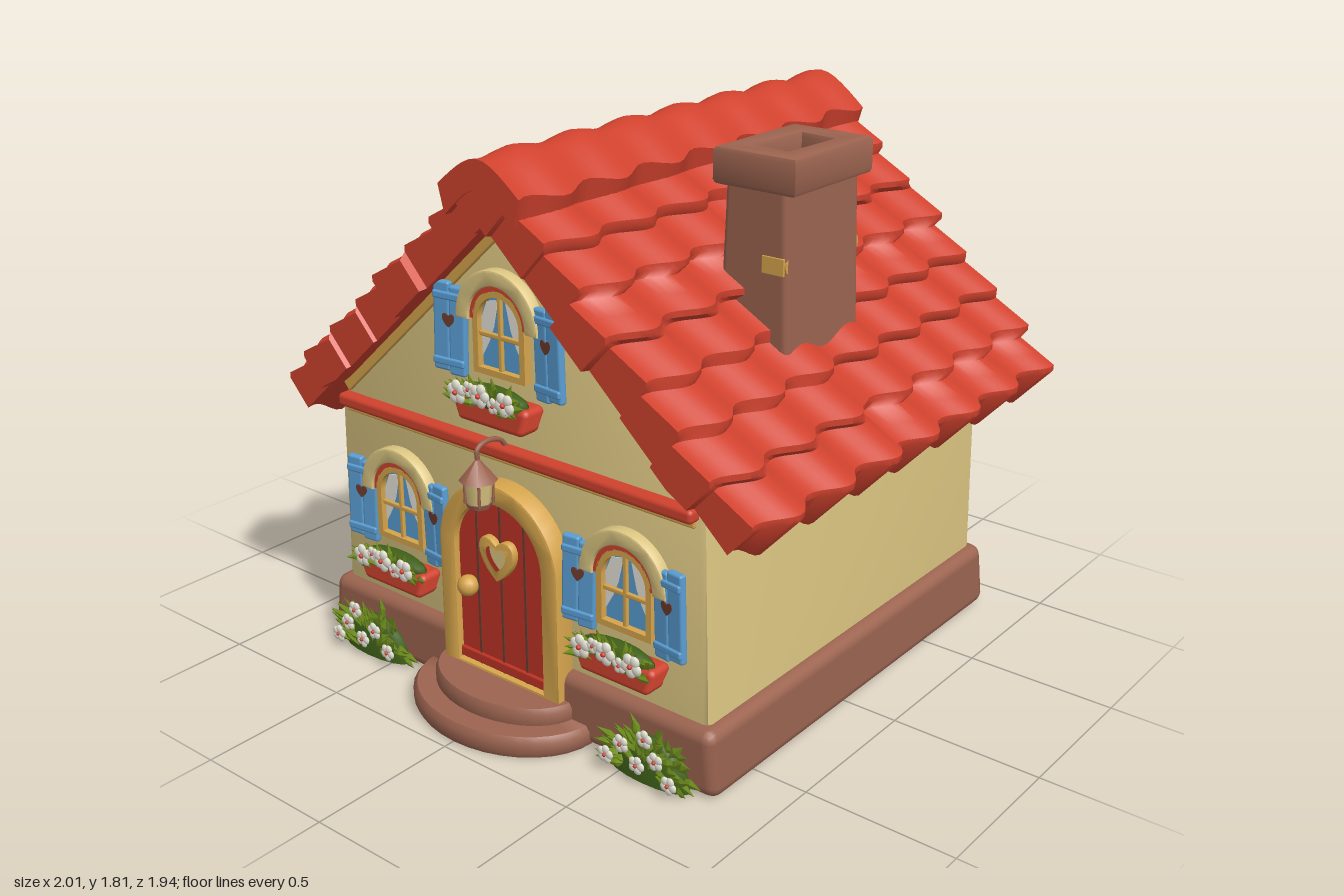
import * as THREE from 'three';
import { mergeGeometries, toCreasedNormals } from 'three/addons/utils/BufferGeometryUtils.js';
import { RoundedBoxGeometry } from 'three/addons/geometries/RoundedBoxGeometry.js';

const paint = (name, color) => Object.assign(new THREE.MeshStandardMaterial({ color }), { name });
const M = {
  wall: paint('cream plaster', 0xdcc682), red: paint('tile red', 0xd0422e),
  door: paint('door red', 0xbe3324), brown: paint('brown stone', 0x9c6450),
  blue: paint('blue', 0x5a9dd2), green: paint('leaf green', 0x7a9c22),
  dark: paint('dark green', 0x3f6018), white: paint('white', 0xece8dc),
  ochre: paint('ochre wood', 0xd6a54c), shade: paint('dark brown', 0x6e3b2e),
};

function add(parent, name, geo, mat, x = 0, y = 0, z = 0) {
  const m = new THREE.Mesh(geo, mat);
  m.name = name;
  m.position.set(x, y, z);
  parent.add(m);
  return m;
}
function group(parent, name, x = 0, y = 0, z = 0) {
  const g = new THREE.Group();
  g.name = name;
  g.position.set(x, y, z);
  parent.add(g);
  return g;
}
const box = (w, h, d, r = 0.012) => new RoundedBoxGeometry(w, h, d, 2, Math.min(r, w / 3, h / 3, d / 3));
const slab = (shape, depth, bevel = 0) => toCreasedNormals(new THREE.ExtrudeGeometry(shape, {
  depth, curveSegments: 14, bevelEnabled: bevel > 0, bevelSize: bevel, bevelThickness: bevel, bevelSegments: 2,
}), 0.6);
let seed = 7;
const rnd = () => (seed = (seed * 16807) % 2147483647) / 2147483647;

// Round-topped opening, base at y = 0
function arch(w, h, Type = THREE.Shape) {
  const s = new Type();
  s.moveTo(-w, 0);
  s.lineTo(w, 0);
  s.lineTo(w, h - w);
  s.absarc(0, h - w, w, 0, Math.PI);
  s.lineTo(-w, 0);
  return s;
}
function halfRing(r0, r1) {
  const s = new THREE.Shape();
  s.absarc(0, 0, r1, 0, Math.PI);
  s.absarc(0, 0, r0, Math.PI, 0, true);
  return s;
}
function heart(s, Type = THREE.Shape) {
  const p = new Type();
  p.moveTo(0, -s);
  p.bezierCurveTo(-1.5 * s, 0, -0.9 * s, 1.4 * s, 0, 0.5 * s);
  p.bezierCurveTo(0.9 * s, 1.4 * s, 1.5 * s, 0, 0, -s);
  return p;
}

// Solid from equal closed cross-sections (top edge out, bottom edge back), capped at both ends
function loft(rings, flip) {
  const m = rings[0].length, idx = [];
  const tri = (a, b, c) => (flip ? idx.push(a, c, b) : idx.push(a, b, c));
  for (let j = 0; j < rings.length - 1; j++) for (let i = 0; i < m; i++) {
    const a = j * m + i, b = j * m + (i + 1) % m;
    tri(a, a + m, b);
    tri(b, a + m, b + m);
  }
  const e = (rings.length - 1) * m;
  for (let i = 0; i < m / 2 - 1; i++) {
    const o = m - 1 - i;
    tri(e + i, e + o, e + i + 1); tri(e + o, e + o - 1, e + i + 1);
    tri(i, i + 1, o); tri(o, i + 1, o - 1);
  }
  const g = new THREE.BufferGeometry();
  g.setAttribute('position', new THREE.Float32BufferAttribute(rings.flat(2), 3));
  g.setIndex(idx);
  return toCreasedNormals(g, 0.75);
}

// Wavy tiled roof slope: rows step down the slope, columns ripple along z
const wave = (z) => Math.cos((z - 0.09) / 0.255 * Math.PI * 2);
function roofSlope(side) {
  const rows = 8, L = 1.3, rings = [];
  for (let j = 0; j <= 70; j++) {
    const z = -0.95 + 1.7 * j / 70, w = wave(z), top = [], bottom = [];
    const point = (s, h, zz) => [side * (0.737 * s + 0.676 * h), 1.8 - 0.676 * s + 0.737 * h, zz];
    for (let i = 0; i < rows; i++) for (const t of [0.04, 0.5, 0.92, 1]) {
      const f = (i + t) / rows, s = f * L + 0.022 * w * Math.min(1, f * 6);
      const zz = z + 0.018 * Math.sin(i * 2.3 + 1) * Math.sign(z);
      top.push(point(s, 0.022 * w + (t === 1 ? 0.022 : 0.04 * t), zz));
      bottom.unshift(point(s, -0.13 - (f > 0.85 ? 0.018 * w : 0), zz));
    }
    rings.push([...top, ...bottom]);
  }
  return loft(rings, side < 0);
}
function ridgeCap() {
  const rings = [];
  for (let j = 0; j <= 56; j++) {
    const z = -0.97 + 1.74 * j / 56, w = wave(z), top = [], bottom = [];
    for (let i = 0; i <= 12; i++) {
      const x = (i / 6 - 1) * (0.17 + 0.02 * w);
      const y = 1.83 + 0.009 * w - 0.95 * (Math.hypot(x, 0.08) - 0.08);
      top.push([x, y, z]);
      bottom.unshift([x * 0.85, y - 0.09, z]);
    }
    rings.push([...top, ...bottom]);
  }
  return loft(rings);
}

// Leaves fan outward over an elliptical patch
function leaves(count, w, h, size) {
  const parts = [];
  for (let i = 0; i < count; i++) {
    const a = (i / (count - 1) - 0.5) * 3.3, r = 0.35 + 0.5 * rnd();
    const g = new THREE.OctahedronGeometry(1).scale(size * 0.36, size, size * 0.16);
    g.rotateX(0.5 * rnd()).rotateZ(-a + (rnd() - 0.5) * 0.7);
    parts.push(g.translate(Math.sin(a) * w * r, Math.cos(a) * h * r, 0.035 * (1 - r) + 0.03 * rnd()));
  }
  return mergeGeometries(parts);
}
function flower(parent, x, y, z, r) {
  const g = group(parent, 'flower', x, y, z), petals = [];
  for (let k = 0; k < 5; k++) {
    const a = k * Math.PI * 0.4 + x * 9;
    petals.push(new THREE.SphereGeometry(r * 0.52, 8, 6).scale(1, 1, 0.5).translate(Math.cos(a) * r * 0.58, Math.sin(a) * r * 0.58, 0));
  }
  add(g, 'petals', mergeGeometries(petals), M.white);
  add(g, 'flowerCentre', new THREE.SphereGeometry(r * 0.24, 8, 6), M.red, 0, 0, r * 0.2);
}

// Arched window with shutters and a flower box, base at y = 0
function windowUnit(parent, name, x, y, z, shutterX) {
  const g = group(parent, name, x, y, z);
  const frame = arch(0.105, 0.27);
  frame.holes.push(arch(0.082, 0.235, THREE.Path).getPoints ? (() => {
    const p = new THREE.Path(arch(0.084, 0.23).getPoints(14).map((v) => v.setY(v.y + 0.02)));
    return p;
  })() : null);
  add(g, 'hood', slab(halfRing(0.122, 0.158), 0.035, 0.007), M.wall, 0, 0.17);
  add(g, 'hoodLining', slab(halfRing(0.1, 0.128), 0.03), M.red, 0, 0.168);
  add(g, 'glass', slab(arch(0.098, 0.26), 0.008), M.blue);
  add(g, 'windowFrame', slab(frame, 0.03), M.ochre);
  add(g, 'windowBarUpright', box(0.016, 0.24, 0.014), M.ochre, 0, 0.13, 0.017);
  add(g, 'windowBarCross', box(0.17, 0.016, 0.014), M.ochre, 0, 0.125, 0.017);
  for (const s of [-1, 1]) {
    const c = new THREE.Shape([[0.084, 0.05], [0.084, 0.17], [0.06, 0.225], [0.015, 0.235], [0.035, 0.15], [0.055, 0.1]].map((p) => new THREE.Vector2(s * p[0], p[1])));
    add(g, 'curtain', slab(c, 0.004), M.white, 0, 0, 0.007);
    const sh = group(g, 'shutter', s * shutterX, 0.115, 0.025);
    sh.rotation.set(0, -s * 0.15, s * 0.03);
    for (const k of [-1, 1]) {
      add(sh, 'shutterBoard', box(0.06, 0.285, 0.026), M.blue, k * 0.029, k * s * 0.005, 0);
      add(sh, 'shutterRail', box(0.115, 0.025, 0.02), M.blue, 0, k * 0.105, 0.01);
    }
    add(sh, 'shutterHeart', slab(heart(0.024), 0.004), M.shade, 0, 0.03, 0.012);
  }
  const trough = box(0.31, 0.09, 0.09, 0.02), p = trough.attributes.position;
  for (let i = 0; i < p.count; i++) if (p.getY(i) < 0) p.setX(i, p.getX(i) * 0.86);
  add(g, 'flowerBox', trough, M.red, 0, -0.1, 0.04);
  add(g, 'boxSoilLeaves', new THREE.SphereGeometry(1, 14, 8).scale(0.14, 0.04, 0.04), M.dark, 0, -0.055, 0.055);
  add(g, 'boxLeaves', leaves(34, 0.18, 0.07, 0.04), M.green, 0, -0.07, 0.065);
  [[-0.095, -0.04], [0, -0.03], [0.1, -0.035], [-0.045, -0.02], [0.055, -0.05]].forEach(([fx, fy], i) => flower(g, fx, fy, 0.115, i < 3 ? 0.036 : 0.024));
}

export function createModel() {
  const house = new THREE.Group();
  house.name = 'cottage';

  // Walls and stone base
  const gable = new THREE.Shape([[-0.755, 0.2], [0.755, 0.2], [0.735, 0.9], [0, 1.61], [-0.735, 0.9]].map((p) => new THREE.Vector2(...p)));
  add(house, 'walls', slab(gable, 1.5, 0.02), M.wall, 0, 0, -0.84);
  const base = box(1.66, 0.22, 1.615, 0.04), bp = base.attributes.position;
  for (let i = 0; i < bp.count; i++) if (bp.getY(i) > 0) bp.setX(i, bp.getX(i) * 0.98);
  add(house, 'stoneBase', base, M.brown, 0, 0.135, -0.0875);

  // Roof
  add(house, 'roofSlopeLeft', roofSlope(1), M.red);
  add(house, 'roofSlopeRight', roofSlope(-1), M.red);
  add(house, 'ridgeCap', ridgeCap(), M.red);
  for (const s of [-1, 1]) {
    add(house, 'gableTrim', box(0.98, 0.05, 0.016), M.ochre, s * 0.36, 1.285, 0.682).rotation.z = -s * 0.742;
  }
  add(house, 'frontBeam', box(1.46, 0.045, 0.06, 0.02), M.red, 0, 0.91, 0.69);
  add(house, 'frontBeamTrim', box(1.44, 0.03, 0.02), M.ochre, 0, 0.88, 0.68);
  add(house, 'backBeam', box(1.46, 0.035, 0.05), M.red, 0, 0.91, -0.87);

  // Chimney
  const chimney = group(house, 'chimney', 0.53, 0, -0.03);
  const stack = box(0.22, 0.72, 0.39, 0.02), sp = stack.attributes.position;
  for (let i = 0; i < sp.count; i++) if (sp.getY(i) < 0) sp.setX(i, sp.getX(i) * 1.25);
  add(chimney, 'chimneyStack', stack, M.brown, 0, 1.36, 0);
  const rim = new THREE.Shape([[-0.13, -0.19], [0.13, -0.19], [0.13, 0.19], [-0.13, 0.19]].map((p) => new THREE.Vector2(...p)));
  rim.holes.push(new THREE.Path([[-0.085, -0.13], [-0.07, 0.14], [0.085, 0.12], [0.075, -0.14]].map((p) => new THREE.Vector2(...p))));
  add(chimney, 'chimneyCap', slab(rim, 0.085, 0.016).rotateX(-Math.PI / 2), M.brown, 0, 1.715, 0);
  for (const z of [-0.15, 0.15]) {
    add(chimney, 'plasterPatchSide', new THREE.CylinderGeometry(0.045, 0.045, 0.008, 14).rotateZ(Math.PI / 2).scale(1, 0.8, 1), M.ochre, 0.112, 1.485, z);
  }
  add(chimney, 'plasterPatchFront', box(0.08, 0.055, 0.008), M.ochre, 0.07, 1.485, 0.194);

  // Door with arched frame
  const door = group(house, 'door', 0, 0.15, 0.67);
  const doorFrame = arch(0.24, 0.655);
  doorFrame.holes.push(new THREE.Path(arch(0.19, 0.605).getPoints(14)));
  add(door, 'doorFrame', slab(doorFrame, 0.07, 0.008), M.ochre);
  add(door, 'doorPanel', slab(arch(0.195, 0.61), 0.055), M.door);
  for (const [x, h] of [[-0.1, 0.55], [0, 0.59], [0.1, 0.55]]) add(door, 'doorGroove', new THREE.BoxGeometry(0.008, h, 0.005), M.shade, x, h / 2, 0.056);
  add(door, 'doorRail', box(0.37, 0.035, 0.015), M.door, 0, 0.03, 0.058);
  const ring = heart(0.075);
  ring.holes.push(new THREE.Path(heart(0.045).getPoints(10)));
  add(door, 'doorHeartFrame', slab(ring, 0.02, 0.004), M.ochre, 0, 0.42, 0.055);
  add(door, 'doorHeartPane', slab(heart(0.046), 0.006), M.wall, 0, 0.42, 0.056);
  add(door, 'doorKnob', new THREE.SphereGeometry(0.035, 14, 10), M.ochre, -0.13, 0.285, 0.075);

  // Steps
  for (const [name, rx, rz, y, h] of [['lowerStep', 0.35, 0.27, 0.06, 0.07], ['upperStep', 0.28, 0.19, 0.115, 0.07]]) {
    const prof = [[0, -h / 2], [0.97, -h / 2], [1, -h / 4], [1, h / 4], [0.96, h / 2], [0, h / 2]].map((p) => new THREE.Vector2(...p));
    add(house, name, toCreasedNormals(new THREE.LatheGeometry(prof, 36).scale(rx, 1, rz), 0.9), M.brown, 0, y, 0.7);
  }

  // Lantern on its hook
  const lantern = group(house, 'lantern', 0, 0, 0.81);
  const hook = new THREE.CatmullRomCurve3([[0, 0.91, -0.13], [0, 0.955, -0.1], [0, 0.97, -0.04], [0, 0.955, 0], [0, 0.92, 0]].map((p) => new THREE.Vector3(...p)));
  add(lantern, 'lanternHook', new THREE.TubeGeometry(hook, 16, 0.008, 6), M.brown);
  add(lantern, 'lanternRoof', new THREE.ConeGeometry(0.06, 0.075, 8), M.brown, 0, 0.895, 0);
  add(lantern, 'lanternGlass', new THREE.CylinderGeometry(0.046, 0.036, 0.085, 8), M.wall, 0, 0.825, 0);
  add(lantern, 'lanternBase', new THREE.CylinderGeometry(0.042, 0.036, 0.016, 8), M.brown, 0, 0.778, 0);
  for (let k = 0; k < 4; k++) {
    const a = k * Math.PI / 2 + Math.PI / 4;
    add(lantern, 'lanternPost', new THREE.CylinderGeometry(0.005, 0.005, 0.085, 5), M.brown, Math.cos(a) * 0.042, 0.825, Math.sin(a) * 0.042);
  }

  // Windows
  windowUnit(house, 'upperWindow', 0, 1.15, 0.677, 0.2);
  for (const s of [-1, 1]) windowUnit(house, s < 0 ? 'rightWindow' : 'leftWindow', s * 0.475, 0.46, 0.677, 0.172);

  // Flowering bushes beside the steps
  for (const s of [-1, 1]) {
    const bush = group(house, 'bush', s * 0.595, 0.03, 0.73);
    add(bush, 'bushCore', new THREE.SphereGeometry(1, 16, 8, 0, Math.PI * 2, 0, Math.PI / 2).scale(0.15, 0.14, 0.045), M.dark);
    add(bush, 'bushLeaves', leaves(60, 0.2, 0.18, 0.045), M.green, 0, 0.03, 0);
    for (const [x, y] of [[-0.12, 0.06], [-0.06, 0.12], [0.0, 0.07], [0.07, 0.11], [0.12, 0.05], [0.03, 0.17]]) flower(bush, s * x, y, 0.065, 0.028);
  }
  return house;
}
